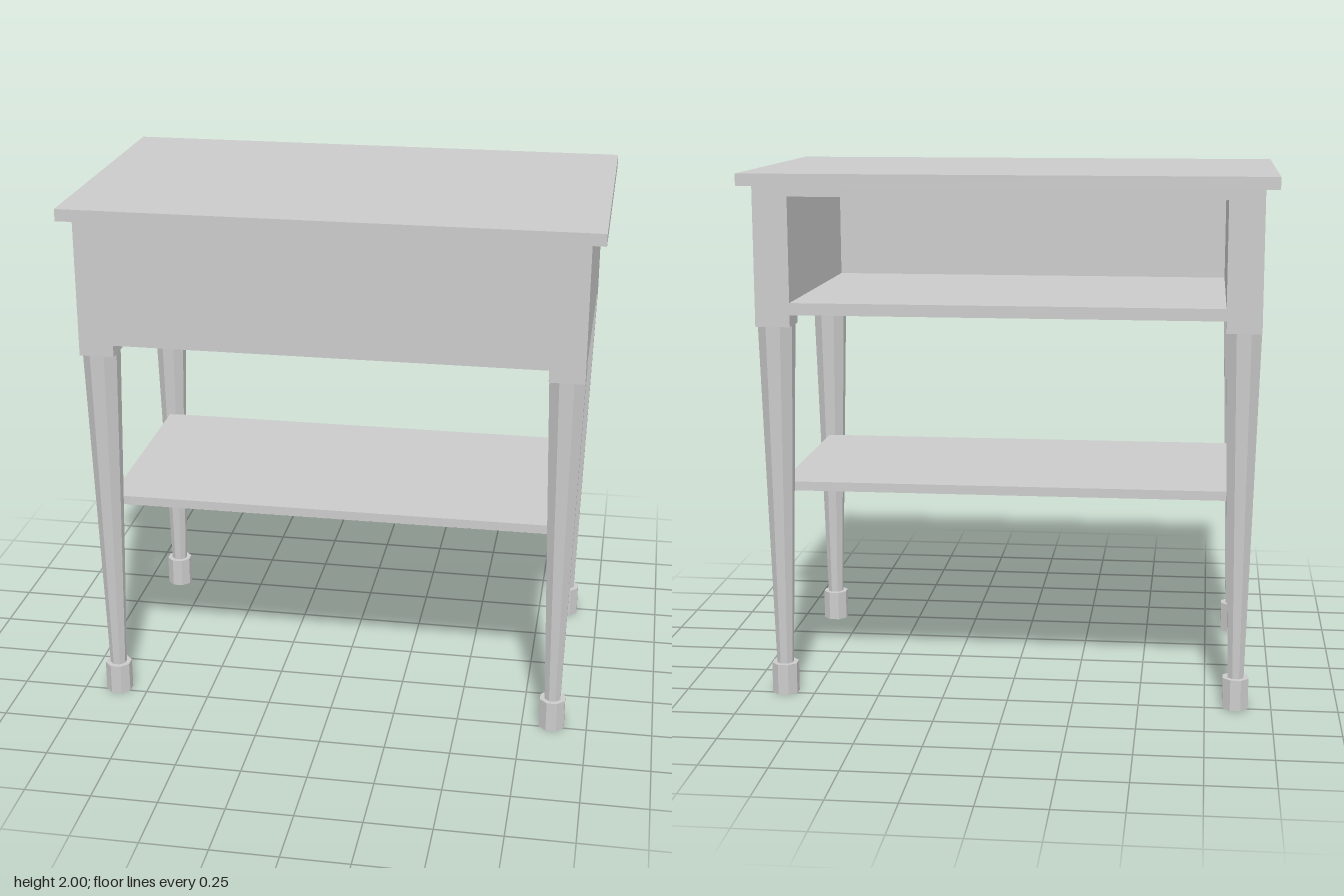
import * as THREE from 'three';

export function createModel() {
  const model = new THREE.Group();
  const material = new THREE.MeshStandardMaterial({ color: 0xcccccc, flatShading: true });

  // Box given by its lower and upper limits on each axis
  function addBox(name, [x0, x1], [y0, y1], [z0, z1]) {
    const mesh = new THREE.Mesh(new THREE.BoxGeometry(x1 - x0, y1 - y0, z1 - z0), material);
    mesh.position.set((x0 + x1) / 2, (y0 + y1) / 2, (z0 + z1) / 2);
    mesh.name = name;
    model.add(mesh);
  }

  // Eight-sided tapered prism, flat faces towards the axes; sizes are half-widths across the flats
  function octagon(name, top, bottom, y0, y1) {
    const k = 1 / Math.cos(Math.PI / 8);
    const geometry = new THREE.CylinderGeometry(top * k, bottom * k, y1 - y0, 8);
    geometry.rotateY(Math.PI / 8);
    const mesh = new THREE.Mesh(geometry, material);
    mesh.position.y = (y0 + y1) / 2;
    mesh.name = name;
    return mesh;
  }

  // Table top
  addBox('tableTop', [-0.98, 0.98], [1.955, 2], [-0.585, 0.585]);

  // Cabinet, open at the back
  addBox('cabinetFront', [-0.8, 0.8], [1.48, 1.955], [0.415, 0.545]);
  addBox('cabinetFloor', [-0.8, 0.8], [1.48, 1.525], [-0.545, 0.415]);
  addBox('cabinetCeiling', [-0.8, 0.8], [1.915, 1.955], [-0.545, 0.415]);
  addBox('rightSide', [-0.93, -0.8], [1.48, 1.955], [-0.545, 0.545]);
  addBox('leftSide', [0.8, 0.93], [1.48, 1.955], [-0.545, 0.545]);

  // Lower shelf
  addBox('lowerShelf', [-0.87, 0.87], [0.79, 0.825], [-0.435, 0.435]);

  // Corner blocks with tapered legs and wider feet
  for (const sx of [-1, 1]) {
    for (const sz of [-1, 1]) {
      const leg = new THREE.Group();
      leg.name = `${sz > 0 ? 'front' : 'back'}${sx > 0 ? 'Left' : 'Right'}Leg`;
      const block = new THREE.Mesh(new THREE.BoxGeometry(0.13, 0.045, 0.13), material);
      block.position.y = 1.4575;
      block.name = 'cornerBlock';
      leg.add(
        block,
        octagon('taperedShaft', 0.065, 0.03, 0.12, 1.435),
        octagon('foot', 0.048, 0.048, 0, 0.12)
      );
      leg.position.set(sx * 0.865, 0, sz * 0.48);
      model.add(leg);
    }
  }

  return model;
}
